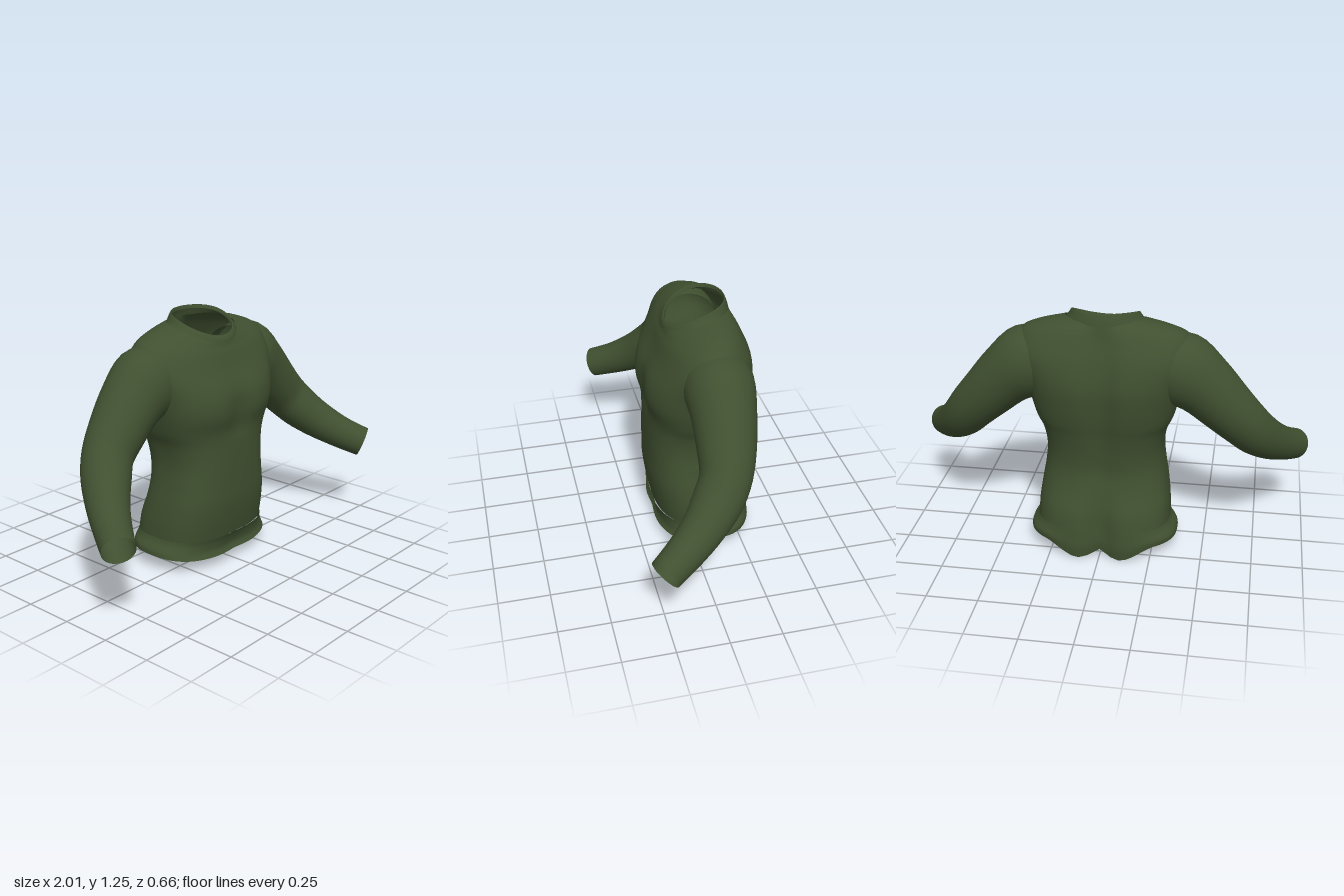
import * as THREE from 'three';

const green = new THREE.MeshStandardMaterial({ color: 0x405030, side: THREE.DoubleSide });
green.name = 'olive green cloth';

// Catmull-Rom interpolation through rows of numbers
function refine(rows, steps) {
  const at = i => rows[Math.max(0, Math.min(rows.length - 1, i))];
  const out = [];
  for (let i = 0; i < rows.length - 1; i++) {
    for (let k = 0; k < steps; k++) {
      const t = k / steps;
      out.push(at(i).map((p1, c) => {
        const p0 = at(i - 1)[c], p2 = at(i + 1)[c], p3 = at(i + 2)[c];
        return 0.5 * (2 * p1 + (p2 - p0) * t + (2 * p0 - 5 * p1 + 4 * p2 - p3) * t * t
          + (3 * p1 - p0 - 3 * p2 + p3) * t * t * t);
      }));
    }
  }
  out.push(rows[rows.length - 1]);
  return out;
}

// Open tube skinned over closed rings; ringPoint(i, angle) gives [x, y, z]
function skin(name, rings, sides, ringPoint) {
  const pos = [], index = [];
  for (let i = 0; i < rings; i++) {
    for (let j = 0; j < sides; j++) pos.push(...ringPoint(i, j / sides * Math.PI * 2));
  }
  for (let i = 0; i < rings - 1; i++) {
    for (let j = 0; j < sides; j++) {
      const k = (j + 1) % sides;
      const a = i * sides + j, b = i * sides + k, c = a + sides, d = b + sides;
      index.push(a, c, d, a, d, b);
    }
  }
  const geo = new THREE.BufferGeometry();
  geo.setAttribute('position', new THREE.Float32BufferAttribute(pos, 3));
  geo.setIndex(index);
  geo.computeVertexNormals();
  const mesh = new THREE.Mesh(geo, green);
  mesh.name = name;
  return mesh;
}

const bump = (x, w) => Math.exp(-((x / w) ** 2));
const round = (v, e) => Math.sign(v) * Math.abs(v) ** e;

// Body rows: front y, back y, half width, front z, back z, chest groove, spine groove, side lift, tail drop
function body(name, rows, steps) {
  const r = refine(rows, steps);
  return skin(name, r.length, 72, (i, a) => {
    const [yF, yB, w, zF, zB, gF, gB, lift, tail] = r[i];
    const c = Math.cos(a), s = Math.sin(a);
    const e = 0.75 + 0.25 * THREE.MathUtils.smoothstep((yF + yB) / 2, 1.0, 1.16);
    const x = w * round(c, e), mid = (zF + zB) / 2;
    let z = mid + (zF - zB) / 2 * round(s, e);
    z += s > 0 ? -gF * bump(x, 0.07) * s : -gB * bump(x, 0.06) * s;
    let y = (yF + yB) / 2 + (yF - yB) / 2 * s + lift * c * c;
    // two rounded lobes on the back hem
    if (s < 0) y -= tail * (1 - THREE.MathUtils.smoothstep(Math.abs(x), 0.1, 0.28)) * (1 - 0.45 * bump(x, 0.05));
    return [x, y, z];
  });
}

function sleeve(name, side) {
  // centre x, y, z, depth radius, height radius
  const r = refine([
    [0.24, 1.0, -0.1, 0.15, 0.13],
    [0.36, 0.96, -0.1, 0.165, 0.18],
    [0.47, 0.885, -0.095, 0.15, 0.155],
    [0.58, 0.775, -0.08, 0.135, 0.135],
    [0.665, 0.685, -0.055, 0.12, 0.122],
    [0.73, 0.605, 0.0, 0.115, 0.113],
    [0.8, 0.53, 0.08, 0.1, 0.1],
    [0.87, 0.465, 0.18, 0.087, 0.087],
    [0.935, 0.415, 0.283, 0.078, 0.08],
  ], 4);
  const centre = i => new THREE.Vector3(r[i][0] * side, r[i][1], r[i][2]);
  return skin(name, r.length, 32, (i, ang) => {
    const t = centre(Math.min(i + 1, r.length - 1)).sub(centre(Math.max(i - 1, 0))).normalize();
    const a = new THREE.Vector3(0, 0, 1).addScaledVector(t, -t.z).normalize();
    const b = new THREE.Vector3().crossVectors(a, t);
    return centre(i).addScaledVector(a, r[i][3] * Math.cos(ang))
      .addScaledVector(b, r[i][4] * Math.sin(ang)).toArray();
  });
}

export function createModel() {
  const shirt = new THREE.Group();
  shirt.name = 'shirt';

  // flared hem with a dipping tail
  shirt.add(body('hem', [
    [0.06, 0.07, 0.37, 0.155, -0.327, 0.01, 0.05, 0.015, 0.068],
    [0.09, 0.10, 0.365, 0.143, -0.332, 0.01, 0.05, 0.012, 0.04],
    [0.13, 0.135, 0.342, 0.148, -0.328, 0.005, 0.05, 0.005, 0.01],
    [0.16, 0.16, 0.332, 0.158, -0.325, 0, 0.05, 0, 0],
  ], 4));

  // torso from hem seam to collar seam
  shirt.add(body('torso', [
    [0.155, 0.155, 0.332, 0.15, -0.325, 0, 0.05, 0, 0],
    [0.24, 0.24, 0.328, 0.165, -0.31, 0, 0.04, 0, 0],
    [0.34, 0.34, 0.315, 0.177, -0.275, 0, 0.02, 0, 0],
    [0.44, 0.44, 0.298, 0.178, -0.257, 0, 0.02, 0, 0],
    [0.54, 0.54, 0.29, 0.177, -0.264, 0, 0.02, 0, 0],
    [0.64, 0.64, 0.305, 0.174, -0.282, 0, 0.025, 0, 0],
    [0.71, 0.71, 0.335, 0.177, -0.3, 0.01, 0.03, 0, 0],
    [0.8, 0.8, 0.36, 0.198, -0.317, 0.025, 0.035, 0, 0],
    [0.9, 0.91, 0.385, 0.185, -0.327, 0.015, 0.04, 0, 0],
    [1.0, 1.03, 0.42, 0.133, -0.307, 0.005, 0.04, 0.01, 0],
    [1.07, 1.12, 0.4, 0.103, -0.272, 0, 0.03, 0.03, 0],
    [1.1, 1.17, 0.31, 0.088, -0.248, 0, 0.015, 0.035, 0],
    [1.125, 1.2, 0.19, 0.082, -0.228, 0, 0, 0.035, 0],
  ], 4));

  // collar band, turned in at the top
  shirt.add(body('collar', [
    [1.12, 1.195, 0.185, 0.087, -0.232, 0, 0, 0.035, 0],
    [1.135, 1.22, 0.172, 0.083, -0.226, 0, 0, 0.03, 0],
    [1.152, 1.253, 0.16, 0.07, -0.212, 0, 0, 0.022, 0],
    [1.135, 1.235, 0.153, 0.064, -0.207, 0, 0, 0.022, 0],
  ], 3));

  shirt.add(sleeve('leftSleeve', 1), sleeve('rightSleeve', -1));
  return shirt;
}
